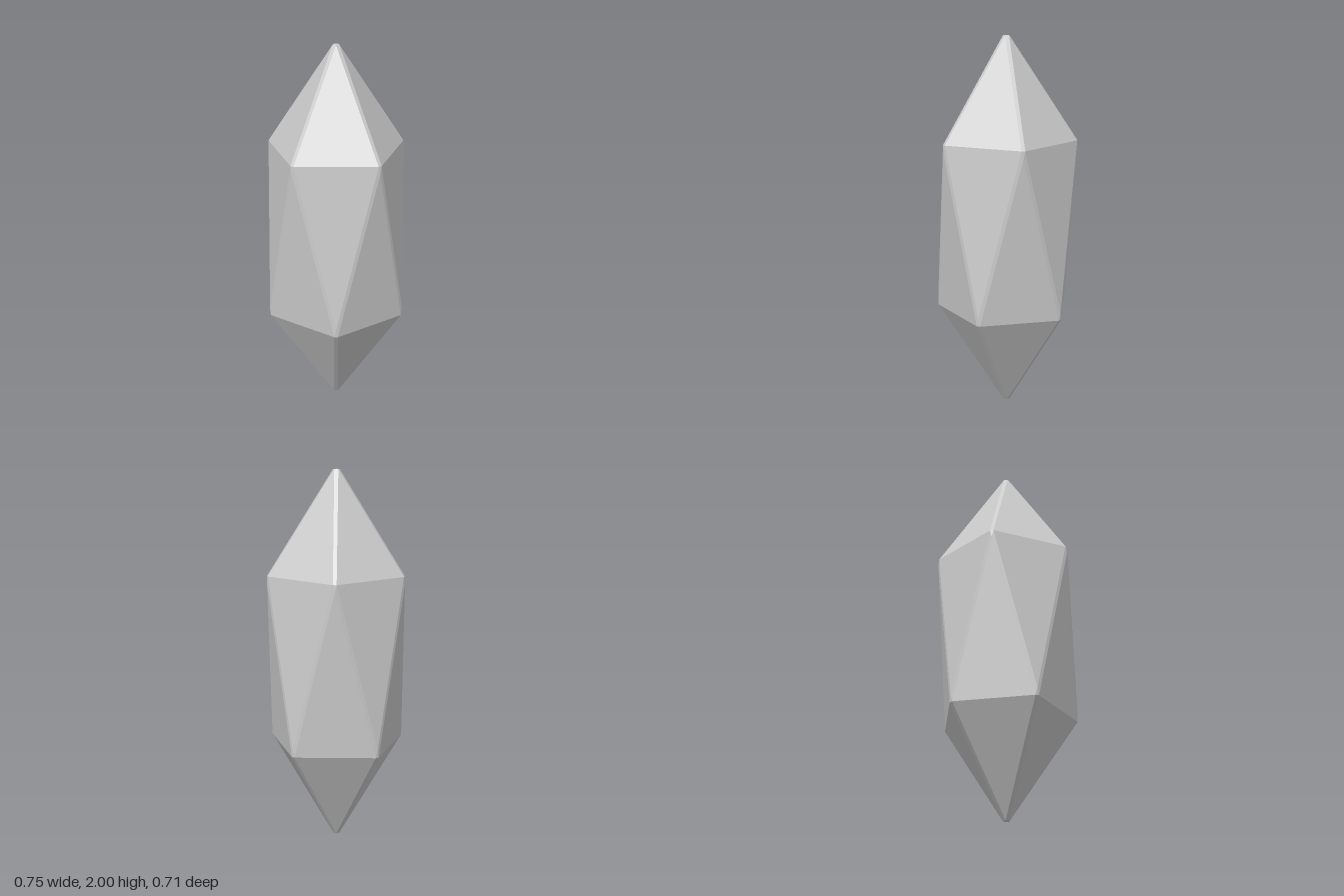
import * as THREE from 'three';
import { ConvexGeometry } from 'three/addons/geometries/ConvexGeometry.js';

// Point at an angle around the vertical axis
const polar = (angle, radius, y) =>
  new THREE.Vector3(Math.cos(angle) * radius, y, Math.sin(angle) * radius);

export function createModel() {
  const group = new THREE.Group();
  group.name = 'crystal';

  const points = [];
  const step = (Math.PI * 2) / 5;
  const chamfer = 0.0255; // half angle of each cut ring corner

  // Two mirrored halves; the lower one is turned by half a step
  for (const upper of [true, false]) {
    const height = (y) => (upper ? y : 2 - y);
    for (let i = 0; i < 5; i++) {
      const a = i * step + (upper ? 0 : step / 2);
      // Tip: small flat pentagon
      points.push(polar(a + step / 2, 0.018, height(2)));
      // Ring corner: three points, which bevel the ridges and diagonals
      points.push(polar(a - chamfer, 0.372, height(1.46)));
      points.push(polar(a + chamfer, 0.372, height(1.46)));
      points.push(polar(a, 0.375, height(1.42)));
    }
  }

  const material = new THREE.MeshStandardMaterial({ color: 0xcccccc, flatShading: true });
  const gem = new THREE.Mesh(new ConvexGeometry(points), material);
  gem.name = 'bevelledGem';
  group.add(gem);
  return group;
}
